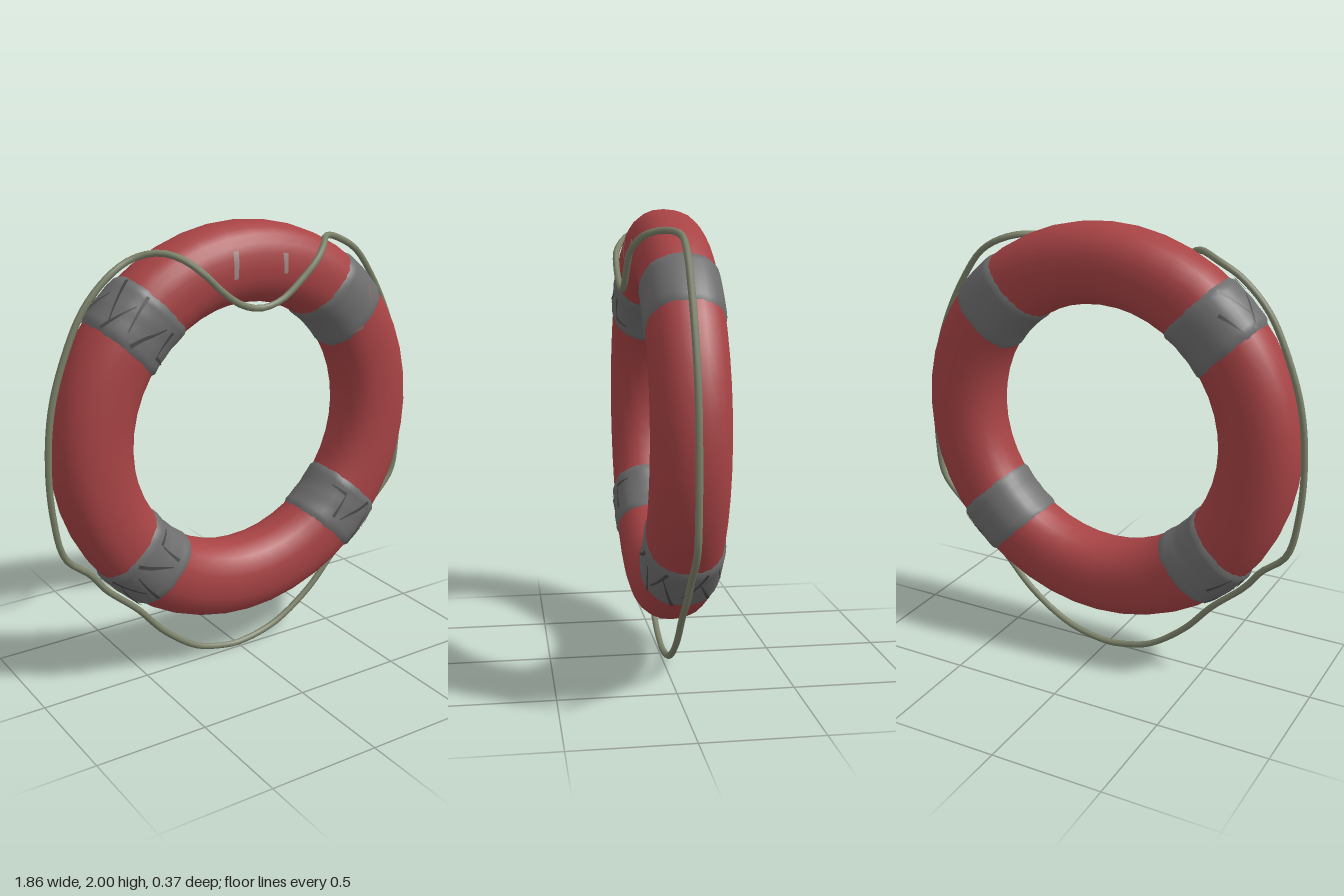
import * as THREE from 'three';
import { mergeVertices } from 'three/addons/utils/BufferGeometryUtils.js';

const CENTER_Y = 1.102, CENTER_Z = -0.016;
const RING_R = 0.722, TUBE_R = 0.173, TUBE_Z = 0.157;

const mat = (name, color) => Object.assign(new THREE.MeshStandardMaterial({ color }), { name });

// Point on the ring surface: angle round the ring, sideways shift s,
// angle t round the tube (0 outer, PI/2 front, PI inner), and lift off the surface
function onRing(angle, s, t, lift) {
  const round = (v) => Math.sign(v) * Math.abs(v) ** 0.88;
  const r = RING_R + (TUBE_R + lift) * round(Math.cos(t));
  const q = Math.sqrt(r * r - s * s);
  const c = Math.cos(angle), n = Math.sin(angle);
  return [q * c - s * n, CENTER_Y + q * n + s * c, CENTER_Z + (TUBE_Z + lift) * round(Math.sin(t))];
}

// Smooth grid surface from a function of u and v in 0..1
function surface(nu, nv, fn) {
  const pos = [], index = [];
  for (let i = 0; i <= nu; i++) {
    for (let j = 0; j <= nv; j++) {
      pos.push(...fn(i / nu, j / nv));
      if (i < nu && j < nv) {
        const a = i * (nv + 1) + j, b = a + nv + 1;
        index.push(a, b, b + 1, a, b + 1, a + 1);
      }
    }
  }
  const g = new THREE.BufferGeometry();
  g.setAttribute('position', new THREE.Float32BufferAttribute(pos, 3));
  g.setIndex(index);
  const merged = mergeVertices(g, 1e-5);
  merged.computeVertexNormals();
  return merged;
}

// Narrow mark lying on the ring, from (s0, t0) to (s1, t1), pointed at the far end
function streak(angle, [s0, t0, s1, t1], width, lift, taper = 0.7) {
  const ds = s1 - s0, dt = (t1 - t0) * TUBE_R, len = Math.hypot(ds, dt);
  return surface(8, 1, (u, v) => {
    const w = (v - 0.5) * width * (1 - taper * u);
    return onRing(angle, s0 + ds * u - (dt / len) * w, t0 + (dt * u + (ds / len) * w) / TUBE_R, lift);
  });
}

export function createModel() {
  const red = mat('ring red', 0xa84345);
  const grey = mat('tape grey', 0x6e6e6e);
  const dark = mat('crease grey', 0x484848);
  const chip = mat('worn paint', 0xa08886);
  const rust = mat('tape stain', 0x8c6a66);
  const green = mat('rope green', 0x7c826a);
  red.side = grey.side = THREE.FrontSide;

  const model = new THREE.Group();
  const add = (name, geometry, material, parent = model) => {
    const mesh = new THREE.Mesh(geometry, material);
    mesh.name = name;
    parent.add(mesh);
    return mesh;
  };

  // Float ring
  add('floatRing', surface(44, 24, (u, v) => onRing(u * Math.PI * 2, 0, v * Math.PI * 2, 0)), red);

  // Worn spots on the top front
  add('wornSpotRight', streak(Math.PI / 2, [0.108, 1.15, 0.112, 1.72], 0.026, 0.003, 0.2), chip);
  add('wornSpotLeft', streak(Math.PI / 2, [-0.135, 1.3, -0.135, 1.7], 0.026, 0.003, 0.3), chip);

  // Creases shared by the wrinkled tape bands: s0, t0, s1, t1
  const creases = [
    [-0.11, 0.25, 0.07, 0.6], [0.11, 0.5, -0.04, 0.95], [-0.1, 1.0, 0.06, 1.15],
    [0.1, 1.35, -0.05, 1.75], [-0.06, 1.95, 0.05, 2.0], [0.06, 2.0, 0.06, 2.5],
    [-0.1, -0.6, 0.05, -0.25], [0.11, -0.4, -0.03, 0.1], [-0.02, -1.0, 0.1, -0.75],
  ];

  // Four tape bands with ragged edges
  const bands = [
    ['upperLeftBand', 45, 0.0], ['upperRightBand', 135, 1],
    ['lowerRightBand', 226, 1], ['lowerLeftBand', 316, 1],
  ];
  bands.forEach(([name, degrees, wrinkled], k) => {
    const angle = THREE.MathUtils.degToRad(degrees);
    const group = new THREE.Group();
    group.name = name;
    model.add(group);
    add('tape', surface(12, 36, (u, v) => {
      const t = v * Math.PI * 2;
      const ragged = 0.004 * Math.sin(9 * t + k) + 0.003 * Math.sin(14 * t + 2 * k + u * 3);
      const s = (u - 0.5) * (0.244 + ragged);
      const fold = wrinkled * 0.002 * (1 + Math.sin(5 * t + 35 * s + k) * Math.cos(40 * s - 3 * t));
      const edge = u === 0 || u === 1;
      return onRing(angle, s, t, edge ? -0.003 : 0.006 + fold);
    }), grey, group);
    if (wrinkled) {
      const flip = k % 2 ? 1 : -1;
      creases.forEach(([s0, t0, s1, t1]) =>
        add('crease', streak(angle, [s0 * flip, t0, s1 * flip, t1], 0.016, 0.0115), dark, group));
    } else {
      add('stain', streak(angle, [-0.01, 1.0, -0.06, 1.3], 0.014, 0.009), rust, group);
      add('stain', streak(angle, [-0.11, 1.75, -0.09, 2.1], 0.018, 0.009), rust, group);
    }
  });

  // Grab rope: hangs across the top front, then runs round the rim and sags below
  const rim = -0.014;
  const path = [
    [0, 1.655, 0.165], [0.1, 1.68, 0.167], [0.2, 1.755, 0.167], [0.28, 1.825, 0.16],
    [0.35, 1.88, 0.115], [0.41, 1.9, 0.045], [0.5, 1.885, -0.008], [0.62, 1.82, rim],
    [0.72, 1.69, rim], [0.82, 1.5, rim], [0.88, 1.32, rim], [0.908, 1.1, rim],
    [0.91, 0.85, rim], [0.885, 0.7, rim], [0.75, 0.55, rim], [0.65, 0.44, rim],
    [0.55, 0.35, rim], [0.4, 0.19, rim], [0.2, 0.06, rim], [0, 0.016, rim],
    [-0.1, 0.026, rim], [-0.23, 0.065, rim], [-0.4, 0.19, rim], [-0.53, 0.335, rim],
    [-0.68, 0.47, rim], [-0.75, 0.56, rim], [-0.86, 0.66, rim], [-0.905, 0.86, rim],
    [-0.912, 1.1, rim], [-0.885, 1.32, rim], [-0.82, 1.52, rim], [-0.73, 1.7, rim],
    [-0.61, 1.825, rim], [-0.5, 1.885, -0.01], [-0.41, 1.905, 0.045], [-0.34, 1.88, 0.11],
    [-0.27, 1.82, 0.158], [-0.2, 1.75, 0.167], [-0.1, 1.68, 0.167],
  ].map((p) => new THREE.Vector3(...p));
  const curve = new THREE.CatmullRomCurve3(path, true, 'centripetal');
  add('grabRope', new THREE.TubeGeometry(curve, 160, 0.0145, 8, true), green);

  return model;
}
